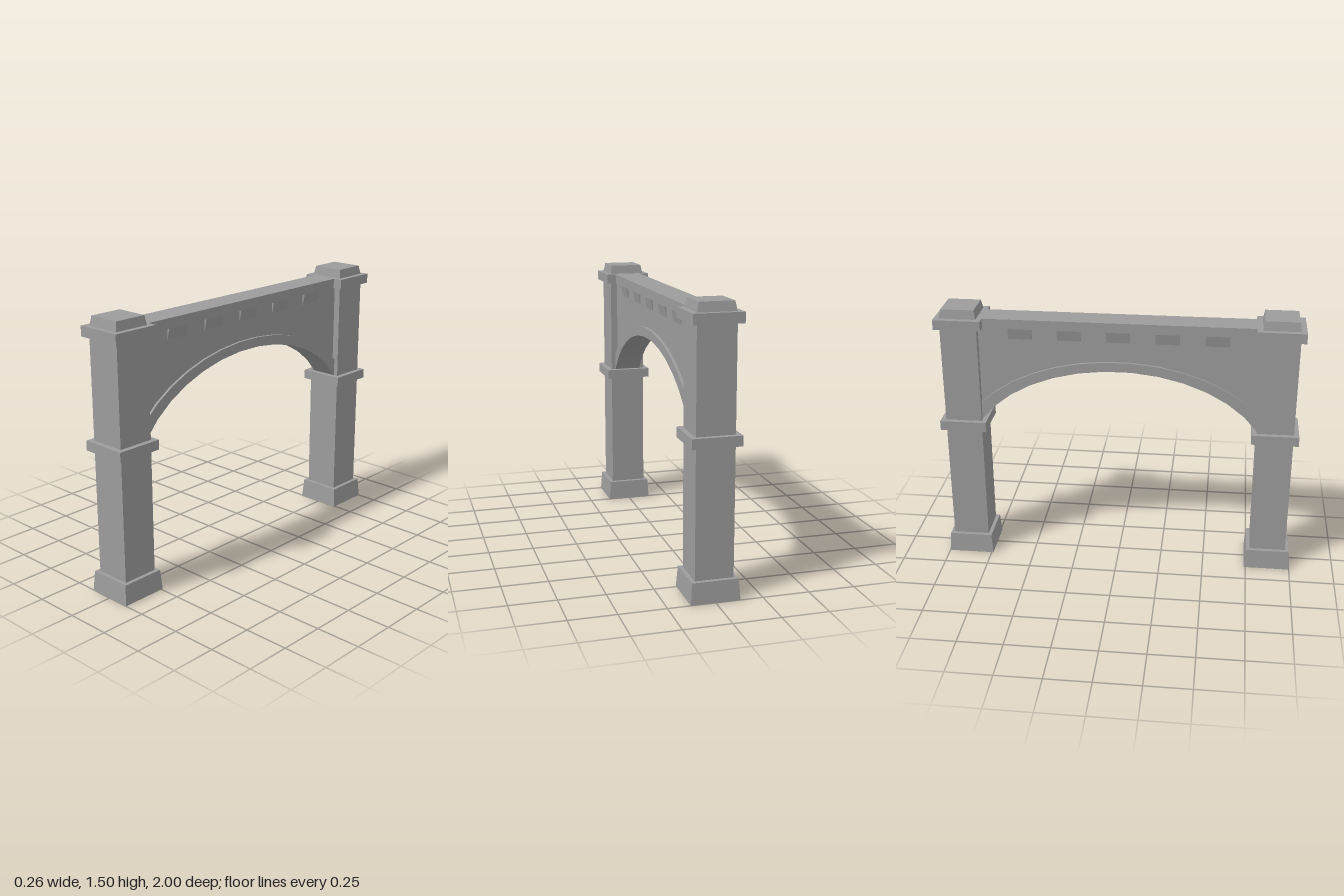
import * as THREE from 'three';
import { toCreasedNormals } from 'three/addons/utils/BufferGeometryUtils.js';

const color = 0x9c9c9c;
const stone = new THREE.MeshStandardMaterial({ color, flatShading: true });
const stoneOpen = new THREE.MeshStandardMaterial({ color, flatShading: true, side: THREE.DoubleSide });
const stoneSmooth = new THREE.MeshStandardMaterial({ color });

function add(parent, name, geometry, y = 0, z = 0, material = stone) {
  const mesh = new THREE.Mesh(geometry, material);
  mesh.name = name;
  mesh.position.set(0, y, z);
  parent.add(mesh);
}

// Box given by its sizes and its bottom and top heights
function block(parent, name, w, y0, y1, d) {
  add(parent, name, new THREE.BoxGeometry(w, y1 - y0, d), (y0 + y1) / 2);
}

// Square block tapering from half width b to half width t
function taper(b, t, h, open = false) {
  return new THREE.CylinderGeometry(t * Math.SQRT2, b * Math.SQRT2, h, 4, 1, open).rotateY(Math.PI / 4);
}

// Points of an elliptical arc clipped where it meets the piers
const SPAN = 0.77;
function arc(a, b, c, segments = 13) {
  const end = Math.asin(SPAN / a);
  return Array.from({ length: segments + 1 }, (_, i) => {
    const t = -end + (2 * end * i) / segments;
    return new THREE.Vector2(a * Math.sin(t), c + b * Math.cos(t));
  });
}

// Outline in the z-y plane, extruded symmetrically across x, smooth along the curve
function slab(points, width) {
  const geometry = new THREE.ExtrudeGeometry(new THREE.Shape(points), { depth: width, bevelEnabled: false })
    .translate(0, 0, -width / 2)
    .rotateY(Math.PI / 2);
  return toCreasedNormals(geometry, 0.5);
}

// Corbel through the wall, its outer faces sloping back to the wall at the bottom
function corbelGeometry() {
  const profile = new THREE.Shape([
    new THREE.Vector2(-0.077, 0.031),
    new THREE.Vector2(-0.064, -0.031),
    new THREE.Vector2(0.064, -0.031),
    new THREE.Vector2(0.077, 0.031),
  ]);
  return new THREE.ExtrudeGeometry(profile, { depth: 0.13, bevelEnabled: false }).translate(0, 0, -0.065);
}

function createPier() {
  const pier = new THREE.Group();
  // Hollow plinth, open underneath
  add(pier, 'plinth', taper(0.13, 0.122, 0.113, true), 0.0565, 0, stoneOpen);
  add(pier, 'plinthTop', new THREE.PlaneGeometry(0.244, 0.244).rotateX(-Math.PI / 2), 0.113, 0, stoneOpen);
  block(pier, 'shaft', 0.203, 0.114, 1.42, 0.203);
  block(pier, 'middleBand', 0.26, 0.796, 0.85, 0.26);
  block(pier, 'topBand', 0.26, 1.395, 1.45, 0.26);
  add(pier, 'cap', taper(0.1, 0.091, 0.05), 1.475);
  return pier;
}

export function createModel() {
  const model = new THREE.Group();
  model.name = 'archway';

  // Piers at both ends
  for (const s of [1, -1]) {
    const pier = createPier();
    pier.name = s > 0 ? 'frontPier' : 'backPier';
    pier.position.z = s * 0.87;
    model.add(pier);
  }

  // Arch ring and the recessed wall above it
  const inner = arc(0.85, 0.56, 0.612);
  const outer = arc(0.9, 0.57, 0.655);
  add(model, 'archRing', slab([...inner, ...outer.slice().reverse()], 0.154), 0, 0, stoneSmooth);
  add(model, 'spandrelWall', slab(
    [...outer, new THREE.Vector2(SPAN, 1.4), new THREE.Vector2(-SPAN, 1.4)], 0.126), 0, 0, stoneSmooth);

  // Top beam with a row of corbels below it
  block(model, 'topBeam', 0.154, 1.396, 1.45, 1.49);
  for (let i = -2; i <= 2; i++) add(model, 'corbel', corbelGeometry(), 1.366, i * 0.268);
  return model;
}
